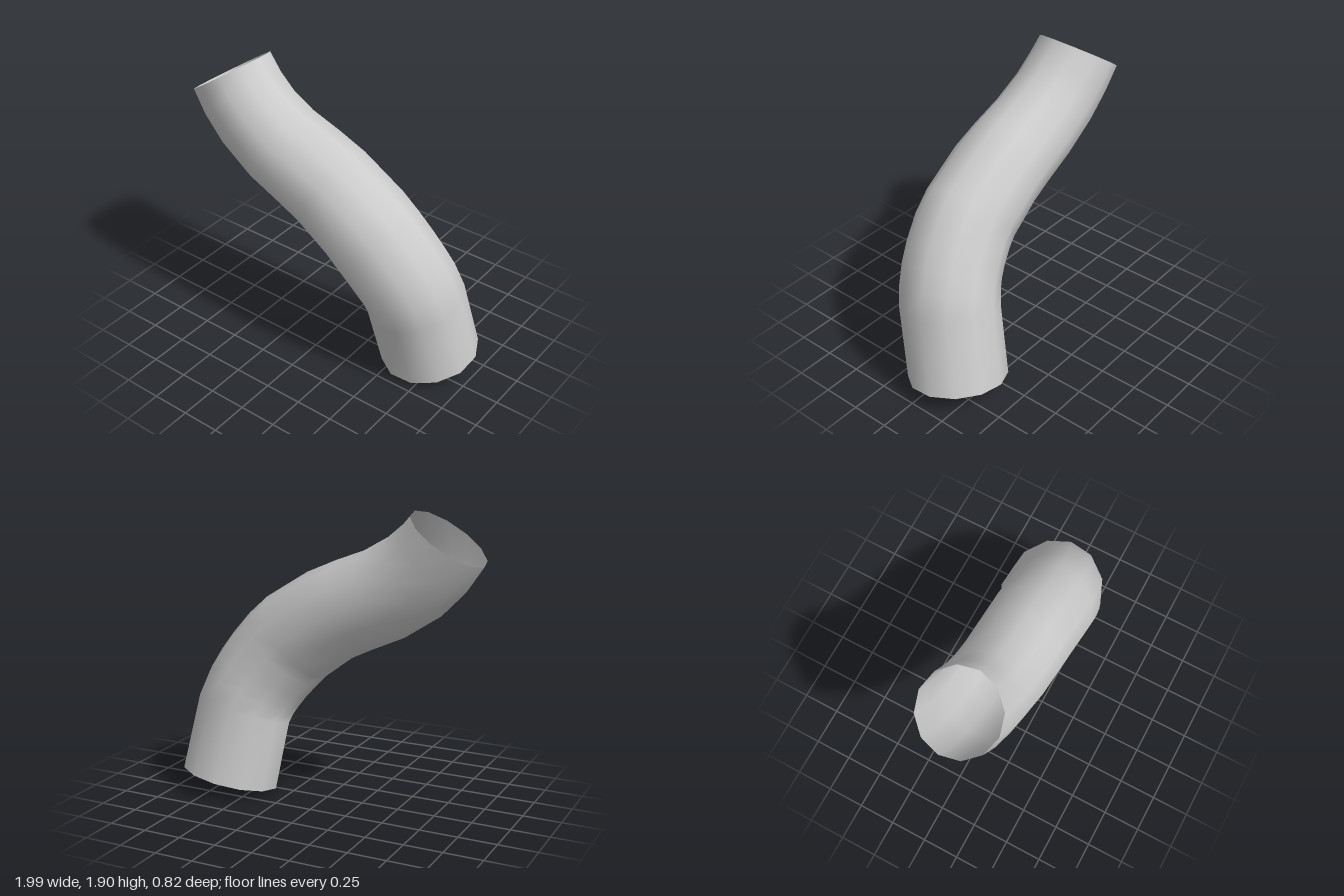
import * as THREE from 'three';

const SIDES = 12;

// Stations along the bent pipe, bottom to top:
// centre x, y, z, radius in the bend plane, radius across it
const STATIONS = [
  [0.675, 0.085, -0.1, 0.327, 0.315],
  [0.615, 0.545, 0.005, 0.32, 0.315],
  [0.575, 0.66, 0.035, 0.323, 0.312],
  [0.525, 0.75, 0.06, 0.324, 0.31],
  [0.463, 0.84, 0.08, 0.326, 0.308],
  [0.372, 0.95, 0.1, 0.328, 0.305],
  [0.28, 1.04, 0.108, 0.325, 0.302],
  [0.04, 1.205, 0.112, 0.312, 0.298],
  [-0.13, 1.285, 0.113, 0.307, 0.292],
  [-0.34, 1.375, 0.113, 0.301, 0.284],
  [-0.545, 1.505, 0.106, 0.295, 0.275],
  [-0.675, 1.63, 0.097, 0.287, 0.27],
  [-0.77, 1.755, 0.085, 0.278, 0.264],
];

// Skins elliptical rings set square to the centre line, with open ends
function bentPipe() {
  const centres = STATIONS.map(([x, y, z]) => new THREE.Vector3(x, y, z));
  const last = centres.length - 1;
  const positions = [];
  const index = [];

  centres.forEach((c, i) => {
    // Direction of the centre line; the end cuts have their own tilt
    const t = new THREE.Vector3();
    if (i === 0) t.set(-0.17, 1, 0.18);
    else if (i === last) t.set(-0.56, 0.83, -0.02);
    else {
      const before = c.clone().sub(centres[i - 1]).normalize();
      const after = centres[i + 1].clone().sub(c).normalize();
      t.addVectors(before, after);
    }
    t.normalize();
    const u = new THREE.Vector3().crossVectors(t, new THREE.Vector3(0, 0, 1)).normalize();
    const w = new THREE.Vector3().crossVectors(u, t);
    const phase = THREE.MathUtils.degToRad(THREE.MathUtils.lerp(-9, 3, i / last));

    for (let k = 0; k < SIDES; k++) {
      const a = phase + (k / SIDES) * Math.PI * 2;
      const p = c.clone()
        .addScaledVector(u, STATIONS[i][3] * Math.cos(a))
        .addScaledVector(w, STATIONS[i][4] * Math.sin(a));
      positions.push(p.x, p.y, p.z);
      if (i < last) {
        const p0 = i * SIDES + k;
        const p1 = i * SIDES + ((k + 1) % SIDES);
        index.push(p0, p0 + SIDES, p1, p1, p0 + SIDES, p1 + SIDES);
      }
    }
  });

  const geometry = new THREE.BufferGeometry();
  geometry.setAttribute('position', new THREE.Float32BufferAttribute(positions, 3));
  geometry.setIndex(index);
  geometry.computeVertexNormals();
  return geometry;
}

export function createModel() {
  const group = new THREE.Group();
  group.name = 'bentPipe';
  const material = new THREE.MeshStandardMaterial({ color: 0xcccccc, side: THREE.DoubleSide });
  const pipe = new THREE.Mesh(bentPipe(), material);
  pipe.name = 'pipeWall';
  group.add(pipe);
  return group;
}
